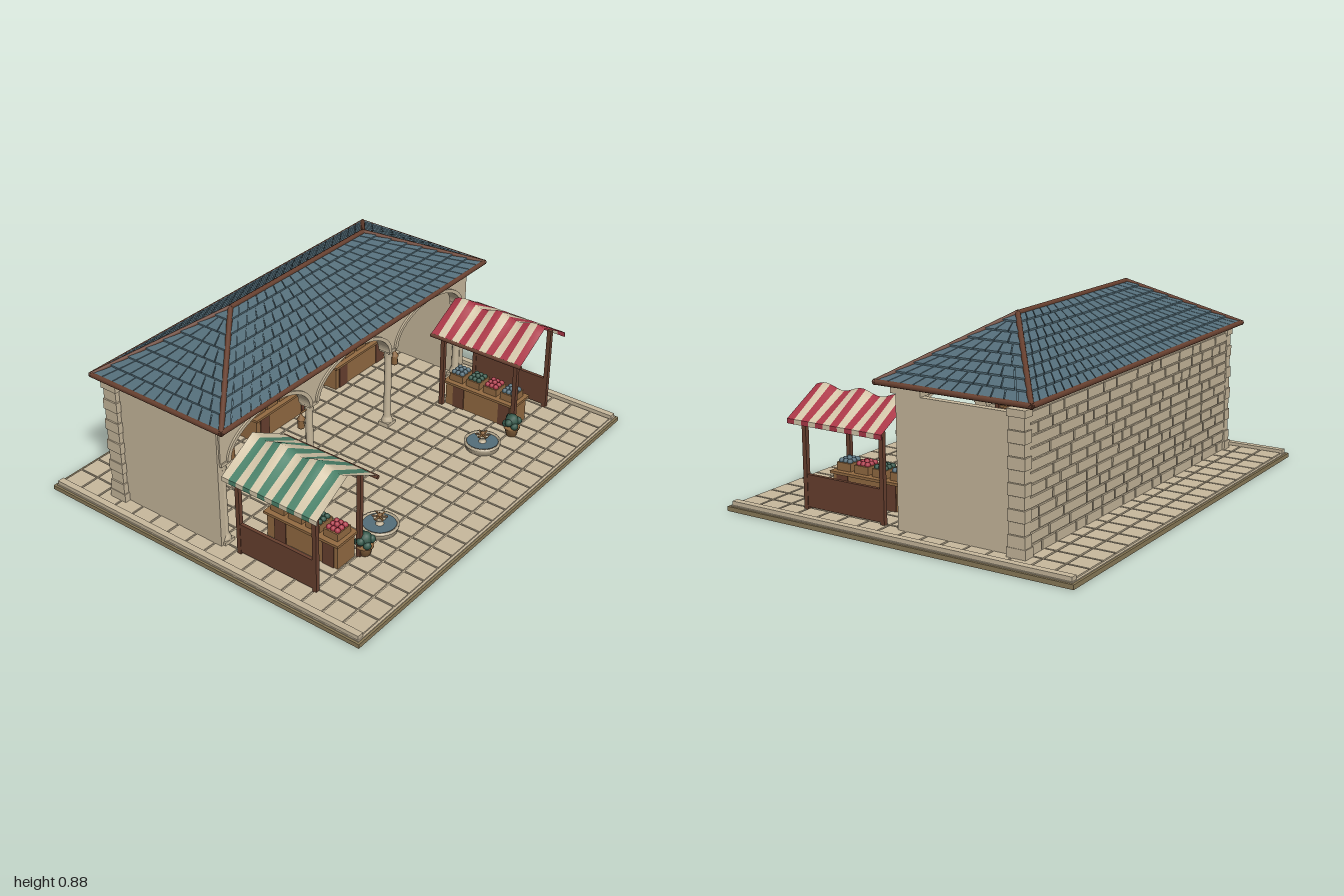
import * as THREE from 'three';
import { mergeGeometries } from 'three/addons/utils/BufferGeometryUtils.js';
import { ConvexGeometry } from 'three/addons/geometries/ConvexGeometry.js';

const mat = (name, color, side = THREE.FrontSide) => {
  const m = new THREE.MeshStandardMaterial({ color, side });
  m.name = name;
  return m;
};
const V = (x, y, z) => new THREE.Vector3(x, y, z);

// box geometry given by its centre in x and z and by its bottom and top
const block = (w, d, y0, y1, x, z) =>
  new THREE.BoxGeometry(w, y1 - y0, d).translate(x, (y0 + y1) / 2, z);

// round bar between two points
function bar(p, q, r) {
  const dir = q.clone().sub(p);
  const g = new THREE.CylinderGeometry(r, r, dir.length() + r, 8);
  g.applyQuaternion(new THREE.Quaternion().setFromUnitVectors(V(0, 1, 0), dir.clone().normalize()));
  return g.translate(...p.clone().add(q).multiplyScalar(0.5).toArray());
}

const lathe = (points, sides = 16) =>
  new THREE.LatheGeometry(points.map(([r, y]) => new THREE.Vector2(r, y)), sides);

// overlapping tiles on a slope with lower corners a, b and upper corners c, d
function slopeTiles(a, b, c, d, rows, out) {
  const at = (s, t, lift) => {
    const p = a.clone().lerp(b, s).lerp(d.clone().lerp(c, s), t);
    p.y += lift;
    return p;
  };
  const quad = (p, q, r, s) => [p, q, r, p, r, s].forEach(v => out.push(v.x, v.y, v.z));
  for (let i = 0; i < rows; i++) {
    const t0 = i / rows, t1 = (i + 1) / rows;
    const n = Math.max(1, Math.round(at(0, t0, 0).distanceTo(at(1, t0, 0)) / 0.06));
    for (let j = 0; j < n; j++) {
      const s0 = (j + 0.04) / n, s1 = (j + 0.96) / n;
      const p = at(s0, t0, 0.01), q = at(s1, t0, 0.01), r = at(s1, t1, 0.003), s = at(s0, t1, 0.003);
      const p0 = at(s0, t0, 0), q0 = at(s1, t0, 0), r0 = at(s1, t1, 0), s1b = at(s0, t1, 0);
      quad(p, q, r, s);
      quad(p0, q0, q, p);
      quad(q0, r0, r, q);
      quad(s1b, p0, p, s);
    }
  }
}

export function createModel() {
  const model = new THREE.Group();
  model.name = 'marketHall';
  const stone = mat('stone', 0xc8b99d), plinth = mat('plinthStone', 0x8c7c5a);
  const slate = mat('blueSlate', 0x546e7a), dark = mat('darkWood', 0x68402f);
  const wood = mat('lightWood', 0x936b42), leaf = mat('leafGreen', 0x34584a);
  const red = mat('redCloth', 0xac3848, THREE.DoubleSide);
  const green = mat('greenCloth', 0x4c836b, THREE.DoubleSide);
  const cloth = mat('creamCloth', 0xd6c8ab, THREE.DoubleSide);
  const add = (name, geos, material, parent = model) => {
    const list = [].concat(geos);
    const mesh = new THREE.Mesh(list.length > 1 ? mergeGeometries(list) : list[0], material);
    mesh.name = name;
    parent.add(mesh);
    return mesh;
  };

  // plinth, paving and kerbs
  add('plinth', block(2, 1.68, 0, 0.02, 0, 0), plinth);
  const paving = [block(1.98, 1.66, 0.02, 0.024, 0, 0)];
  for (let i = 0; i < 19; i++) for (let j = 0; j < 16; j++)
    paving.push(block(0.092, 0.094, 0.022, 0.03, (i - 9) * 0.1, (j - 7.5) * 0.103));
  add('paving', paving, stone);
  add('kerbs', [-1, 1].map(s => block(0.03, 1.65, 0.02, 0.042, s * 0.97, 0)), stone);

  // back wall of uneven bricks on both faces
  const bricks = [block(1.75, 0.05, 0.024, 0.6, 0, -0.533)];
  const rowH = 0.57 / 12;
  for (let r = 0; r < 12; r++) {
    let x = -0.87;
    for (let k = 0; x < 0.86; k++) {
      let w = 0.08 + 0.025 * ((r * 7 + k * 3 + ((r * k) % 4)) % 5);
      if (x + w > 0.8) w = 0.87 - x;
      bricks.push(block(w - 0.009, 0.066, 0.03 + r * rowH, 0.03 + (r + 1) * rowH - 0.008, x + w / 2, -0.533));
      x += w;
    }
  }
  add('backWall', bricks, stone);
  add('sideWalls', [-1, 1].map(s => block(0.03, 0.54, 0.024, 0.588, s * 0.865, -0.232)), stone);

  // corner piers with alternating blocks
  const piers = [];
  for (const s of [-1, 1]) {
    piers.push(block(0.055, 0.088, 0.024, 0.07, s * 0.88, -0.533), block(0.055, 0.084, 0.58, 0.61, s * 0.88, -0.533));
    for (let i = 0; i < 10; i++)
      piers.push(block(i % 2 ? 0.042 : 0.05, i % 2 ? 0.07 : 0.078, 0.07 + i * 0.051, 0.119 + i * 0.051, s * 0.88, -0.533));
  }
  add('cornerPiers', piers, stone);

  // front arcade: pierced panel, arch mouldings, columns and beam
  const bays = [-0.565, 0, 0.565];
  const panel = new THREE.Shape();
  panel.moveTo(-0.87, 0.59);
  panel.lineTo(-0.87, 0.43);
  bays.forEach(x => panel.absellipse(x, 0.43, 0.255, 0.145, Math.PI, 0, true));
  panel.lineTo(0.87, 0.43);
  panel.lineTo(0.87, 0.59);
  const extrude = (shape, depth, z) =>
    new THREE.ExtrudeGeometry(shape, { depth, bevelEnabled: false, curveSegments: 20 }).translate(0, 0, z);
  add('archPanel', extrude(panel, 0.045, 0), stone);
  add('archMouldings', bays.map(x => {
    const ring = new THREE.Shape();
    ring.absellipse(x, 0.43, 0.27, 0.155, Math.PI, 0, true);
    ring.absellipse(x, 0.43, 0.25, 0.14, 0, Math.PI, false);
    return extrude(ring, 0.062, -0.008);
  }), stone);
  add('frontBeam', [block(1.76, 0.145, 0.588, 0.626, 0, -0.008)], stone);
  const column = [[0, 0.024], [0.028, 0.024], [0.028, 0.05], [0.021, 0.065], [0.018, 0.075],
    [0.016, 0.385], [0.022, 0.395], [0.018, 0.405], [0.026, 0.425], [0, 0.425]];
  const columns = [];
  for (const x of [-0.84, -0.283, 0.283, 0.84])
    columns.push(lathe(column, 12).translate(x, 0, 0.022),
      block(0.056, 0.056, 0.42, 0.436, x, 0.022), block(0.058, 0.056, 0.024, 0.045, x, 0.022));
  add('columns', columns, stone);

  // hipped roof with tile courses and timber edges
  const e = [V(-0.92, 0.635, 0.105), V(0.92, 0.635, 0.105), V(0.92, 0.635, -0.61), V(-0.92, 0.635, -0.61)];
  const top = [V(-0.45, 0.867, -0.252), V(0.45, 0.867, -0.252)];
  add('roofBody', new ConvexGeometry([...e, ...top]), slate);
  const tiles = [];
  slopeTiles(e[0], e[1], top[1], top[0], 8, tiles);
  slopeTiles(e[2], e[3], top[0], top[1], 8, tiles);
  slopeTiles(e[1], e[2], top[1], top[1], 8, tiles);
  slopeTiles(e[3], e[0], top[0], top[0], 8, tiles);
  const tileGeo = new THREE.BufferGeometry();
  tileGeo.setAttribute('position', new THREE.Float32BufferAttribute(tiles, 3));
  tileGeo.computeVertexNormals();
  add('roofTiles', tileGeo, slate);
  add('roofTimbers', [
    ...e.map((p, i) => bar(p, e[(i + 1) % 4], 0.012)),
    bar(top[0], top[1], 0.012),
    bar(e[0], top[0], 0.012), bar(e[3], top[0], 0.012),
    bar(e[1], top[1], 0.012), bar(e[2], top[1], 0.012)], dark);

  // counter with crates of produce, long side along x
  function counter(length, crates, seed) {
    const g = new THREE.Group();
    g.name = 'counter';
    add('counterBody', [block(length - 0.01, 0.11, 0.024, 0.145, 0, 0), block(length + 0.01, 0.135, 0.145, 0.157, 0, 0)], wood, g);
    add('counterPanel', [-0.36, 0.3].map(f => block(0.06, 0.118, 0.03, 0.145, f * length, 0)), dark, g);
    const boxes = [], fruit = [[], [], []];
    for (let i = 0; i < crates; i++) {
      const x = (i - (crates - 1) / 2) * length / crates * 0.98;
      boxes.push(block(0.072, 0.085, 0.157, 0.192, x, 0));
      for (let a = 0; a < 3; a++) for (let b = 0; b < 3; b++)
        fruit[(i + seed) % 3].push(new THREE.IcosahedronGeometry(0.013, 1)
          .translate(x + (a - 1) * 0.022, 0.196 + ((a * b) % 2) * 0.006, (b - 1) * 0.025));
    }
    add('crates', boxes, wood, g);
    [red, leaf, slate].forEach((m, i) => fruit[i].length && add('produce', fruit[i], m, g));
    model.add(g);
    return g;
  }
  [-0.58, 0, 0.58].forEach((x, i) => counter(0.44, 5, i).position.set(x, 0, -0.4));

  for (const s of [-1, 1]) {
    // striped awning on four posts
    const stall = new THREE.Group();
    stall.name = s < 0 ? 'rightStall' : 'leftStall';
    model.add(stall);
    const posts = [];
    for (const z of [0.125, 0.52])
      posts.push(block(0.02, 0.02, 0.024, 0.44, s * 0.578, z), block(0.02, 0.02, 0.024, 0.44, s * 0.86, z));
    add('posts', posts, dark, stall);
    add('sidePanel', block(0.016, 0.39, 0.04, 0.18, s * 0.86, 0.322), dark, stall);
    add('awningRail', bar(V(s * 0.528, 0.413, 0.09), V(s * 0.528, 0.413, 0.568), 0.009), dark, stall);
    const stripes = [[], []], dz = 0.483 / 13;
    for (let k = 0; k < 13; k++) {
      const zc = 0.57 - (k + 0.5) * dz;
      const g = new THREE.PlaneGeometry(2, dz, 12, 3).rotateX(-Math.PI / 2).translate(0, 0, zc);
      const p = g.attributes.position;
      for (let i = 0; i < p.count; i++) {
        const u = p.getX(i), fall = Math.abs(u);
        const wave = s * 0.011 * Math.sin((0.57 - p.getZ(i)) * 2 * Math.PI / 0.19) * (1 - fall);
        p.setXYZ(i, s * 0.72 + u * 0.192, 0.527 - 0.107 * fall + wave, p.getZ(i));
      }
      g.computeVertexNormals();
      stripes[k % 2].push(g, block(0.005, dz, 0.4, 0.421, s * 0.91, zc));
    }
    add('awningStripes', stripes[s > 0 ? 0 : 1], s > 0 ? red : green, stall);
    add('awningCloth', stripes[s > 0 ? 1 : 0], cloth, stall);
    const stallCounter = counter(0.38, 4, s + 1);
    stallCounter.rotation.y = Math.PI / 2;
    stallCounter.position.set(s * 0.65, 0, 0.322);

    // fountain
    const fountain = new THREE.Group();
    fountain.name = 'fountain';
    fountain.position.set(s * 0.388, 0.024, 0.48);
    model.add(fountain);
    add('basin', lathe([[0, 0], [0.076, 0], [0.078, 0.028], [0.083, 0.03], [0.083, 0.042], [0.073, 0.042], [0.071, 0.02]], 24), stone, fountain);
    add('water', new THREE.CylinderGeometry(0.073, 0.073, 0.004, 24).translate(0, 0.034, 0), slate, fountain);
    add('pedestal', lathe([[0.02, 0.034], [0.012, 0.045], [0.01, 0.055], [0.028, 0.066], [0.028, 0.07], [0, 0.064]], 12), stone, fountain);
    const spouts = [lathe([[0.012, 0.064], [0.007, 0.075], [0.012, 0.085], [0, 0.092]], 8)];
    for (let i = 0; i < 6; i++) {
      const a = i * Math.PI / 3;
      spouts.push(bar(V(0, 0.072, 0), V(0.032 * Math.cos(a), 0.074, 0.032 * Math.sin(a)), 0.004));
    }
    add('spouts', spouts, wood, fountain);

    // potted plant
    const plant = new THREE.Group();
    plant.name = 'pottedPlant';
    plant.position.set(s * 0.555, 0.024, 0.53);
    model.add(plant);
    add('pot', lathe([[0, 0], [0.022, 0], [0.034, 0.045], [0.038, 0.046], [0.038, 0.056], [0, 0.054]], 12), wood, plant);
    const leaves = [new THREE.IcosahedronGeometry(0.032, 1).translate(0, 0.082, 0)];
    for (let i = 0; i < 6; i++)
      leaves.push(new THREE.IcosahedronGeometry(0.018, 1)
        .translate(0.03 * Math.cos(i * 1.05), 0.065 + 0.018 * (i % 2), 0.026 * Math.sin(i * 1.05)));
    add('foliage', leaves, leaf, plant);

    // lantern on a bracket beside the column
    add('lantern', [
      bar(V(s * 0.29, 0.398, 0.02), V(s * 0.336, 0.398, 0.02), 0.004),
      lathe([[0, 0.32], [0.012, 0.322], [0.017, 0.328], [0.015, 0.365], [0.02, 0.367], [0.006, 0.388], [0.004, 0.4], [0, 0.4]], 6)
        .translate(s * 0.336, 0, 0.02)], wood);
  }
  return model;
}
